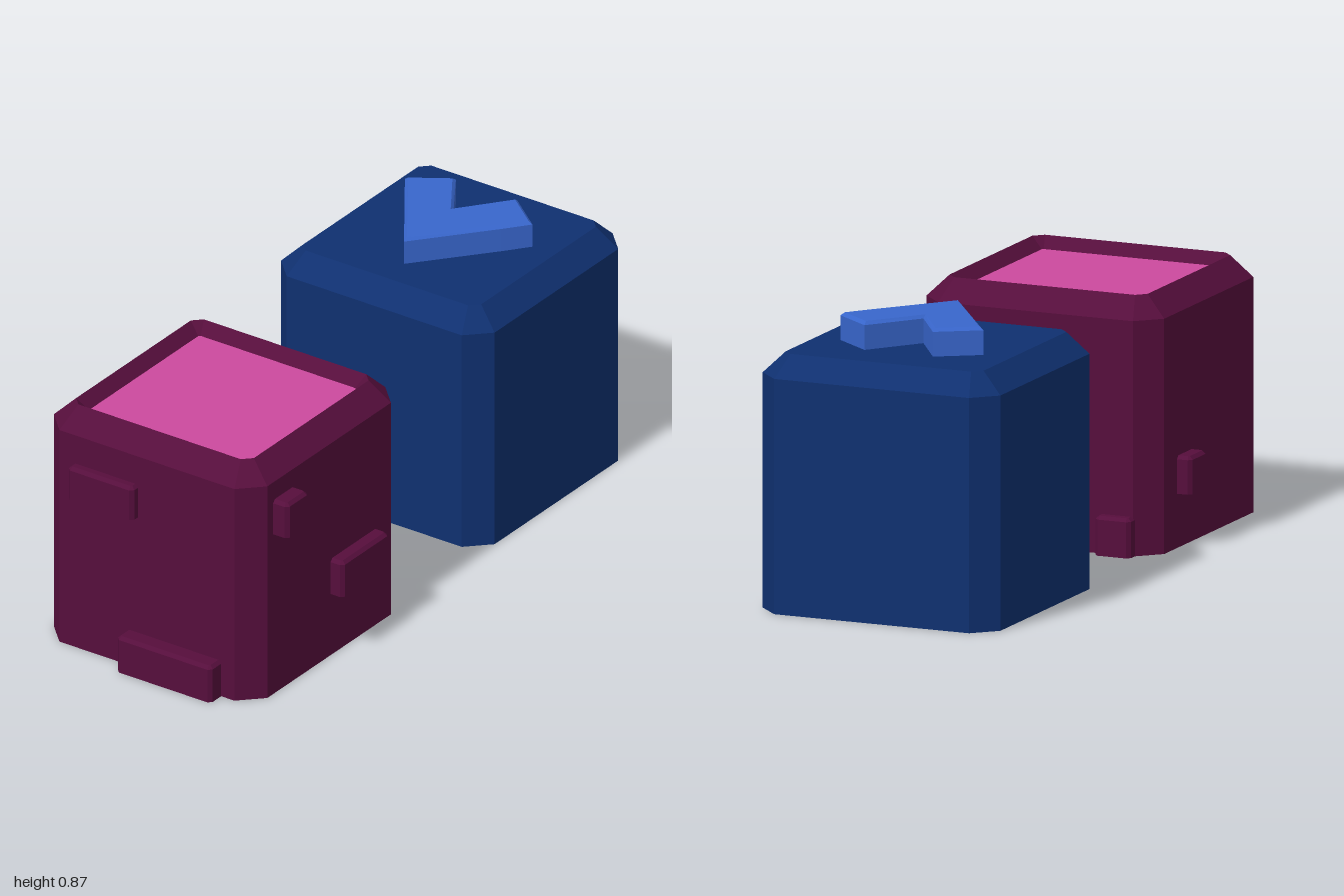
import * as THREE from 'three';

const mat = (name, color) => {
  const m = new THREE.MeshStandardMaterial({ color });
  m.name = name;
  return m;
};

// Octagonal ring (rectangle with cut corners), counterclockwise from above
function ring(w, d, cut, y) {
  const x = w / 2, z = d / 2, a = x - cut, b = z - cut;
  return [[x, b], [x, -b], [a, -z], [-a, -z], [-x, -b], [-x, b], [-a, z], [a, z]]
    .map(([px, pz]) => [px, y, pz]);
}

// Flat-faced skin over stacked rings, with optional bottom and top caps
function skin(rings, bottom = true, top = true) {
  const pos = [];
  const tri = (...pts) => pts.forEach((p) => pos.push(...p));
  for (let r = 0; r + 1 < rings.length; r++) {
    for (let i = 0; i < 8; i++) {
      const j = (i + 1) % 8, lo = rings[r], hi = rings[r + 1];
      tri(lo[i], lo[j], hi[j]);
      tri(lo[i], hi[j], hi[i]);
    }
  }
  const first = rings[0], last = rings[rings.length - 1];
  for (let i = 1; i < 7; i++) {
    if (bottom) tri(first[0], first[i + 1], first[i]);
    if (top) tri(last[0], last[i], last[i + 1]);
  }
  const g = new THREE.BufferGeometry();
  g.setAttribute('position', new THREE.Float32BufferAttribute(pos, 3));
  g.computeVertexNormals();
  return g;
}

// Outer shell of a block whose vertical and top edges are chamfered
const blockRings = (w, h, d, c) => [
  ring(w, d, c, 0),
  ring(w, d, c, h - c * 0.93),
  ring(w - c * 1.86, d - c * 1.86, c * 0.4, h),
];

export function createModel() {
  const model = new THREE.Group();
  const navy = mat('navy', 0x0f3070);
  const blue = mat('bright blue', 0x3866cc);
  const plum = mat('plum', 0x560e3c);
  const pink = mat('pink', 0xcc4a9e);

  const add = (parent, name, geometry, material, x = 0, y = 0, z = 0) => {
    const m = new THREE.Mesh(geometry, material);
    m.name = name;
    m.position.set(x, y, z);
    parent.add(m);
    return m;
  };

  const S = 0.776, H = 0.78, C = 0.07;

  // Blue block with a raised chevron
  const arrowBlock = new THREE.Group();
  arrowBlock.name = 'arrowBlock';
  model.add(arrowBlock);
  add(arrowBlock, 'arrowBlockBody', skin(blockRings(S, H, S, C)), navy, 0.612, 0, -0.003);

  const chevron = new THREE.Shape([
    [0.39, 0.012], [0.62, -0.168 - 0.01], [0.697, -0.238], [0.793, -0.115],
    [0.635, 0.005], [0.793, 0.108], [0.71, 0.235],
  ].map(([x, y]) => new THREE.Vector2(x, y)));
  const chevronGeo = new THREE.ExtrudeGeometry(chevron, {
    depth: 0.075, bevelEnabled: true, bevelSegments: 1,
    bevelSize: 0.01, bevelThickness: 0.01, bevelOffset: -0.01,
  });
  chevronGeo.rotateX(-Math.PI / 2);
  add(arrowBlock, 'chevron', chevronGeo, blue, 0, 0.78, 0);

  // Plum block with a shallow recessed pink top
  const studBlock = new THREE.Group();
  studBlock.name = 'studBlock';
  model.add(studBlock);
  const px = -0.557, pz = -0.003;
  const floor = ring(0.572, 0.572, 0.005, 0.745);
  add(studBlock, 'studBlockBody', skin([...blockRings(S, H, S, C), floor], true, false), plum, px, 0, pz);
  add(studBlock, 'recessedTop', skin([floor], false, true), pink, px, 0, pz);

  // Small chamfered studs: [x0, x1, y0, y1, z0, z1], slightly sunk into the sides
  const studs = {
    frontUpperStud: [-0.845, -0.735, 0.54, 0.655, 0.36, 0.438],
    frontLowerStud: [-0.55, -0.31, 0.207, 0.325, 0.36, 0.43],
    backStud: [-0.445, -0.33, 0.165, 0.28, -0.437, -0.36],
    rightUpperStud: [-0.975, -0.92, 0.51, 0.62, -0.273, -0.035],
    rightLowerStud: [-1, -0.92, 0, 0.12, -0.077, 0.267],
    leftMiddleStud: [-0.19, -0.124, 0.395, 0.51, -0.03, 0.217],
    leftLowerStud: [-0.19, -0.135, 0, 0.12, -0.325, -0.21],
  };
  for (const [name, [x0, x1, y0, y1, z0, z1]] of Object.entries(studs)) {
    const g = skin(blockRings(x1 - x0, y1 - y0, z1 - z0, 0.011));
    add(studBlock, name, g, plum, (x0 + x1) / 2, y0, (z0 + z1) / 2);
  }

  return model;
}
